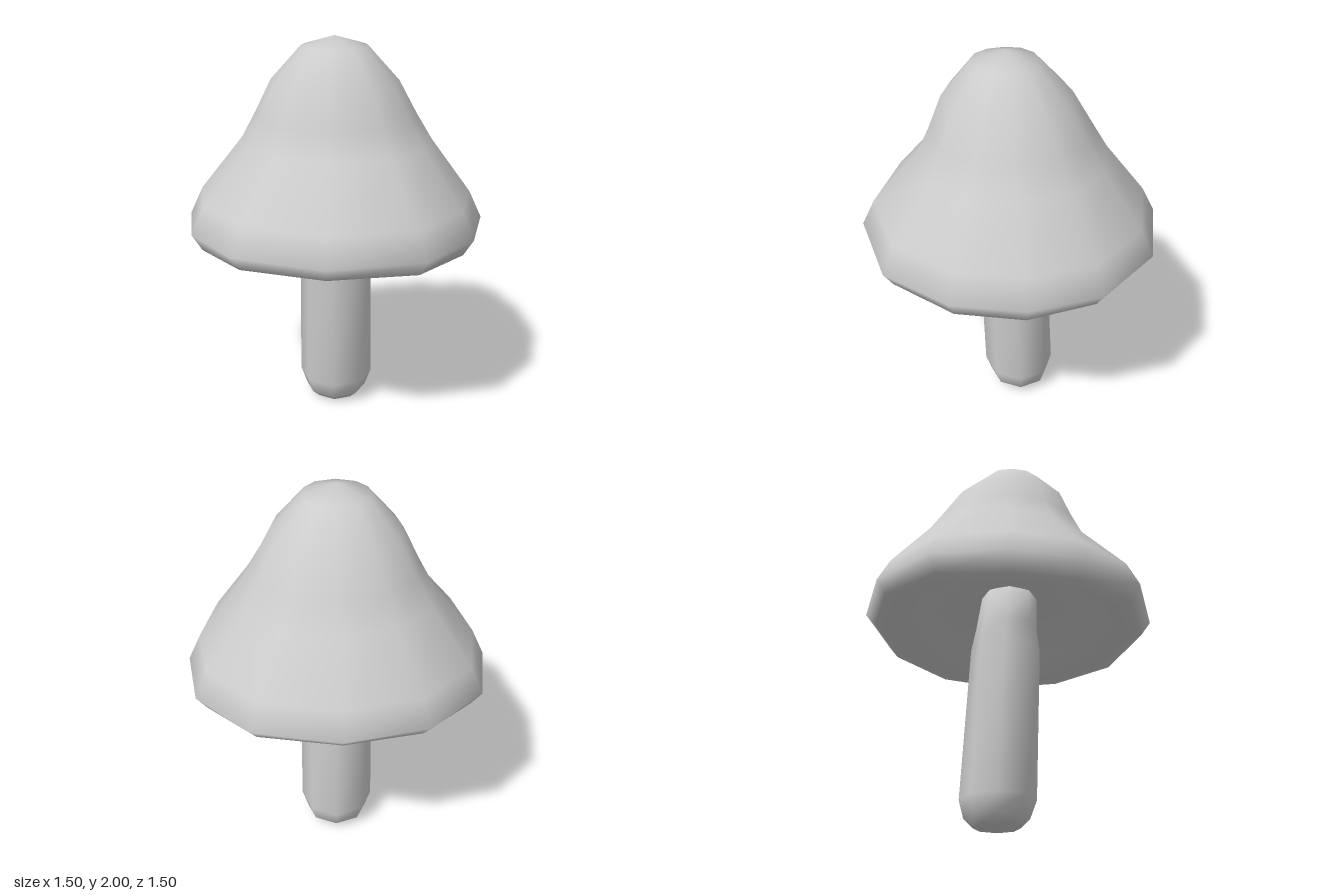
import * as THREE from 'three';

const material = new THREE.MeshStandardMaterial({ color: 0xcccccc });

// Skin rings of equal point count, listed top to bottom, closing both ends with a fan
function loft(rings, top, bottom) {
  const n = rings[0].length;
  const positions = [...rings.flat(), top, bottom].flat();
  const topIndex = rings.length * n, bottomIndex = topIndex + 1;
  const last = (rings.length - 1) * n;
  const index = [];
  for (let i = 0; i < n; i++) {
    const j = (i + 1) % n;
    index.push(topIndex, i, j);
    for (let k = 0; k < rings.length - 1; k++) {
      const a = k * n + i, b = k * n + j;
      index.push(a, a + n, b, b, a + n, b + n);
    }
    index.push(bottomIndex, last + j, last + i);
  }
  const geometry = new THREE.BufferGeometry();
  geometry.setAttribute('position', new THREE.Float32BufferAttribute(positions, 3));
  geometry.setIndex(index);
  geometry.computeVertexNormals();
  return geometry;
}

// Irregular twelve-cornered brim outline (x, z), counter-clockwise seen from above
const brim = [
  [0.02, 0.745], [0.46, 0.61], [0.69, 0.30], [0.75, -0.05],
  [0.67, -0.40], [0.39, -0.67], [-0.03, -0.75], [-0.43, -0.64],
  [-0.70, -0.365], [-0.755, 0], [-0.67, 0.345], [-0.42, 0.625],
];

// Cap rings: radius, height, z offset, dent depth, and how far the wavy brim shifts the height
const capRings = [
  [0.165, 1.95, 0.02, 0, 0],
  [0.315, 1.785, 0.01, 0, 0],
  [0.405, 1.62, 0, 0.015, 0],
  [0.485, 1.49, 0, 0.035, 0],
  [0.69, 1.225, 0, 0, 0.3],
  [0.755, 1.095, 0, 0, 0.5],
  [0.705, 1.025, 0, 0, 1],
  [0.62, 1.015, 0, 0, 1],
  [0.49, 1.09, 0, 0, 0.5],
  [0.24, 1.21, -0.01, 0, 0],
];

function buildCap() {
  const rings = capRings.map(([r, y, dz, dent, wave]) => brim.map(([x, z]) => {
    const angle = Math.atan2(x, z);
    const dentAmount = dent * Math.max(0, Math.cos(angle + 0.45));
    const s = r / 0.755 - dentAmount / 0.755;
    // sides droop, the back lifts
    const lift = -0.035 * Math.sin(angle) ** 2 + 0.03 * Math.max(0, -Math.cos(angle));
    return [x * s, y + lift * wave, z * s + dz];
  }));
  return loft(rings, [0, 2, 0.02], [0, 1.24, -0.01]);
}

// Stem rings: radius, height, z centre; the foot is chamfered and leans back
const stemRings = [
  [0.15, 1.23, 0],
  [0.165, 1.04, -0.015],
  [0.185, 0.92, -0.02],
  [0.195, 0.14, -0.055],
  [0.165, 0.05, -0.06],
  [0.12, 0.008, -0.06],
];

function buildStem() {
  const sides = 8;
  const rings = stemRings.map(([r, y, cz]) => Array.from({ length: sides }, (_, i) => {
    const a = (i / sides) * Math.PI * 2;
    return [Math.sin(a) * r, y, Math.cos(a) * r * 0.96 + cz];
  }));
  return loft(rings, [0, 1.24, 0], [0, 0, -0.06]);
}

export function createModel() {
  const group = new THREE.Group();
  group.name = 'mushroom';
  for (const [name, geometry] of [['cap', buildCap()], ['stem', buildStem()]]) {
    const mesh = new THREE.Mesh(geometry, material);
    mesh.name = name;
    group.add(mesh);
  }
  return group;
}
